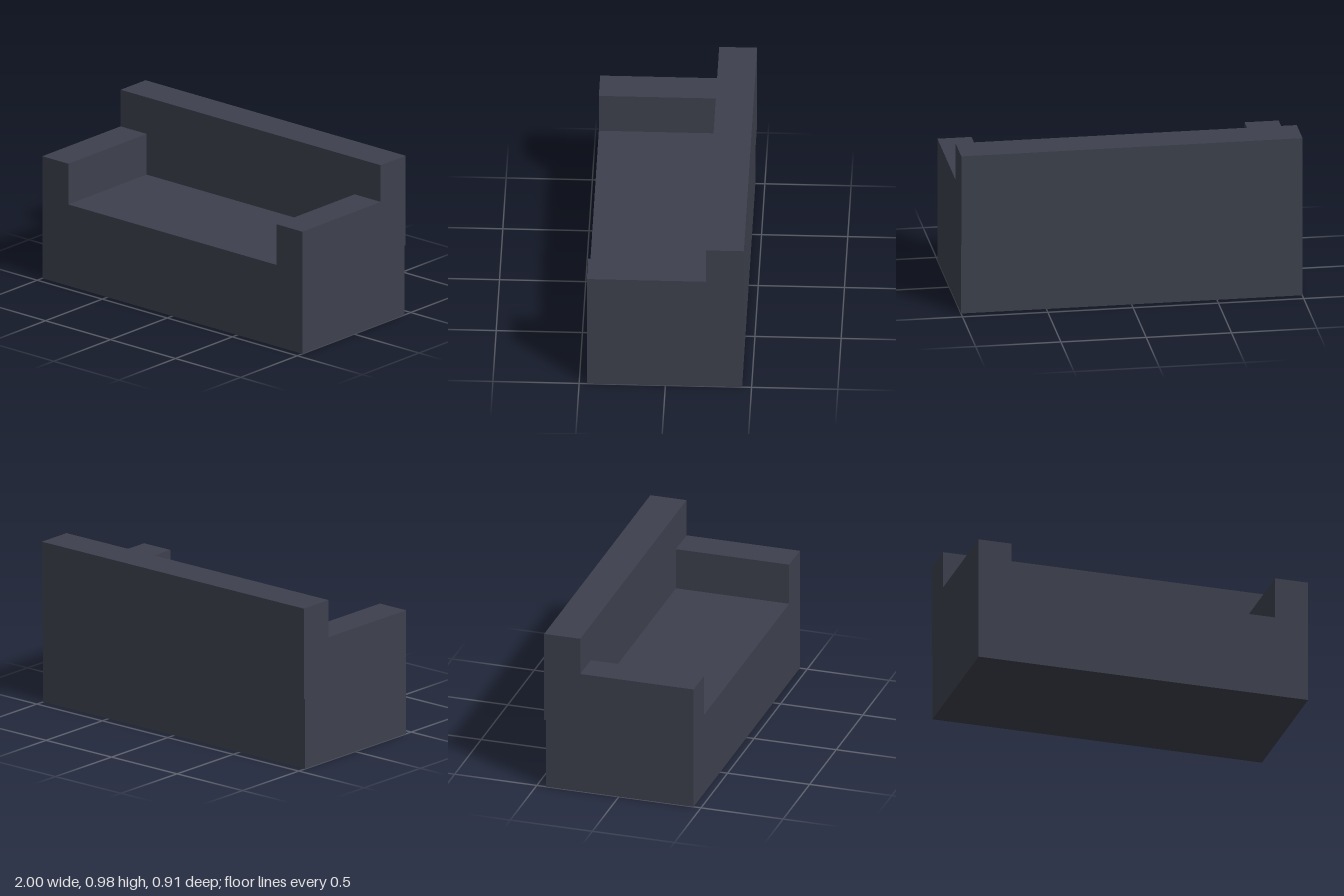
import * as THREE from 'three';

export function createModel() {
  const group = new THREE.Group();
  const material = new THREE.MeshStandardMaterial({ color: 0x3d414d, flatShading: true });

  // Seat base and both armrests: one U-shaped profile, extruded front to back
  const profile = new THREE.Shape([
    [-1, 0], [1, 0], [1, 0.75], [0.8, 0.75],
    [0.8, 0.5], [-0.8, 0.5], [-0.8, 0.75], [-1, 0.75],
  ].map(([x, y]) => new THREE.Vector2(x, y)));
  const frameGeometry = new THREE.ExtrudeGeometry(profile, { depth: 0.9, bevelEnabled: false });
  const frame = new THREE.Mesh(frameGeometry, material);
  frame.name = 'seatAndArmrests';
  frame.position.z = -0.445;
  group.add(frame);

  // Backrest: overhangs the rear of the base slightly
  const backrest = new THREE.Mesh(new THREE.BoxGeometry(2, 0.55, 0.22), material);
  backrest.name = 'backrest';
  backrest.position.set(0, 0.7, -0.345);
  group.add(backrest);

  return group;
}
